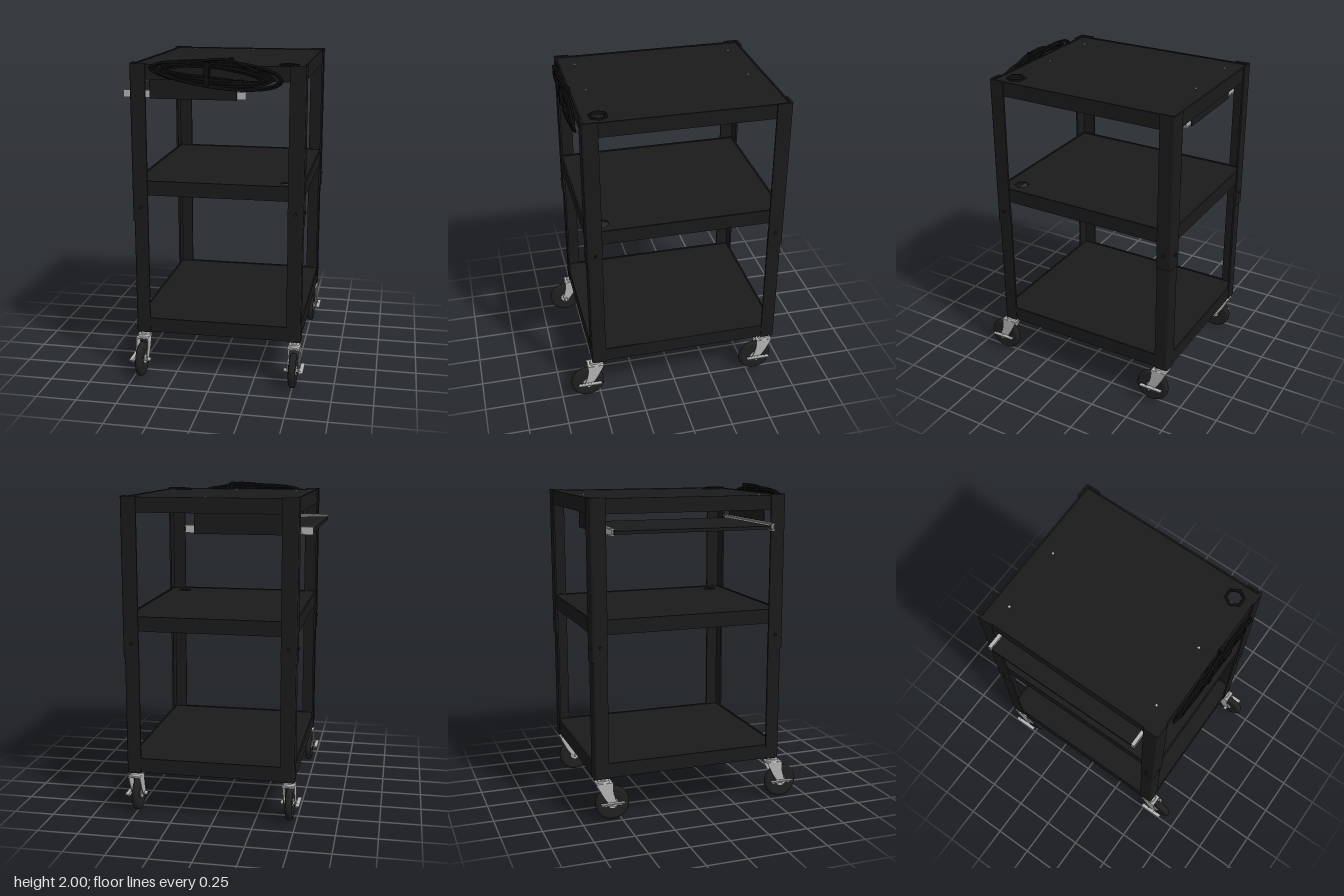
import * as THREE from 'three';

const mat = (name, color) => {
  const m = new THREE.MeshStandardMaterial({ color });
  m.name = name;
  return m;
};

export function createModel() {
  const black = mat('black paint', 0x1a1a1a);
  const rubber = mat('tyre rubber', 0x202020);
  const cable = mat('cable black', 0x0d0d0d);
  const steel = mat('zinc steel', 0xb4b4b4);

  const root = new THREE.Group();
  root.name = 'rollingCart';
  // The frame's centre differs from the origin because tray and wheels stick out
  const frame = new THREE.Group();
  frame.name = 'frame';
  frame.position.set(0.0225, 0, -0.06);
  root.add(frame);

  const add = (parent, name, geo, material, x = 0, y = 0, z = 0) => {
    const m = new THREE.Mesh(geo, material);
    m.name = name;
    m.position.set(x, y, z);
    parent.add(m);
    return m;
  };
  const box = (parent, name, material, w, h, d, x, y, z) =>
    add(parent, name, new THREE.BoxGeometry(w, h, d), material, x, y, z);

  const HX = 0.522, HZ = 0.615; // half width and half depth over the legs

  // Legs: rounded angle section, an upper sleeve over a lower post
  const angleGeometry = (w, t, h, r = 0.015) => {
    const s = new THREE.Shape();
    s.moveTo(r, 0);
    s.lineTo(w, 0);
    s.lineTo(w, t);
    s.lineTo(t, t);
    s.lineTo(t, w);
    s.lineTo(0, w);
    s.lineTo(0, r);
    s.quadraticCurveTo(0, 0, r, 0);
    return new THREE.ExtrudeGeometry(s, { depth: h, bevelEnabled: false, curveSegments: 5 })
      .rotateX(-Math.PI / 2);
  };
  const upperGeo = angleGeometry(0.095, 0.012, 0.96);
  const lowerGeo = angleGeometry(0.088, 0.012, 0.83);
  const boltGeo = new THREE.CylinderGeometry(0.01, 0.01, 0.012, 8);
  [[-1, 1], [1, 1], [1, -1], [-1, -1]].forEach(([sx, sz], k) => {
    const up = add(frame, 'upperLeg', upperGeo, black, sx * HX, 1.0, sz * HZ);
    const low = add(frame, 'lowerLeg', lowerGeo, black, sx * (HX - 0.006), 0.275, sz * (HZ - 0.006));
    up.rotation.y = low.rotation.y = k * Math.PI / 2;
    add(frame, 'legBolt', boltGeo, black, sx * (HX + 0.003), 1.09, sz * (HZ - 0.05)).rotation.z = Math.PI / 2;
    add(frame, 'legBolt', boltGeo, black, sx * (HX - 0.05), 1.09, sz * (HZ + 0.003)).rotation.x = Math.PI / 2;
  });

  // Shelves: thin sheet with a folded apron below and a low lip, cable hole in one corner
  const GX = 0.41, GZ = 0.5;
  const shelf = (name, top, hole) => {
    const g = new THREE.Group();
    g.name = name;
    frame.add(g);
    const w = HX - 0.014, d = HZ - 0.014, h = 0.09, t = 0.01;
    const s = new THREE.Shape([[-w, -d], [w, -d], [w, d], [-w, d]].map(p => new THREE.Vector2(...p)));
    if (hole) {
      const p = new THREE.Path();
      for (let i = 0; i < 6; i++) {
        const a = -i * Math.PI / 3;
        p[i ? 'lineTo' : 'moveTo'](GX + 0.045 * Math.cos(a), -GZ + 0.045 * Math.sin(a));
      }
      p.closePath();
      s.holes.push(p);
    }
    add(g, 'sheet', new THREE.ExtrudeGeometry(s, { depth: t, bevelEnabled: false }).rotateX(-Math.PI / 2),
      black, 0, top - 0.016, 0);
    for (const k of [-1, 1]) {
      box(g, 'sideApron', black, t, h, 2 * d, k * w, top - h / 2, 0);
      box(g, 'endApron', black, 2 * w, h, t, 0, top - h / 2, k * d);
    }
  };
  shelf('topShelf', 1.955, true);
  shelf('middleShelf', 1.253, true);
  shelf('bottomShelf', 0.37, false);

  // Grommet ring around the hole in the top
  add(frame, 'grommet', new THREE.TorusGeometry(0.052, 0.009, 6, 6).rotateX(Math.PI / 2),
    cable, GX, 1.951, GZ);

  // Sliding tray on two rails hung from the top
  const tray = new THREE.Group();
  tray.name = 'slidingTray';
  tray.position.z = -0.06;
  root.add(tray);
  box(tray, 'traySheet', black, 0.69, 0.02, 0.98, -0.225, 1.765, 0);
  for (const k of [-1, 1]) {
    box(tray, 'rail', steel, 0.75, 0.008, 0.022, -0.195, 1.786, k * 0.501);
    box(tray, 'rail', steel, 0.75, 0.008, 0.022, -0.195, 1.749, k * 0.501);
    box(tray, 'railWeb', steel, 0.75, 0.045, 0.006, -0.195, 1.7675, k * 0.506);
    box(tray, 'railEndStop', steel, 0.02, 0.025, 0.014, -0.55, 1.7675, k * 0.5);
    box(tray, 'hanger', black, 0.53, 0.2, 0.008, -0.14, 1.84, k * 0.516);
    for (const x of [-0.35, 0.06])
      add(tray, 'screw', new THREE.CylinderGeometry(0.007, 0.007, 0.006, 8), steel, x, 1.951, k * 0.504);
  }

  // Coiled power cord hung on the front apron
  const cord = new THREE.Group();
  cord.name = 'powerCord';
  cord.position.set(0.02, 1.905, 0.572);
  root.add(cord);
  for (let c = 0; c < 6; c++) {
    const pts = [];
    for (let i = 0; i < 16; i++) {
      const a = i / 16 * Math.PI * 2;
      const rx = 0.39 - c * 0.02, ry = 0.076 - c * 0.009;
      pts.push(new THREE.Vector3(
        rx * Math.cos(a) + 0.014 * Math.sin(c * 2.3),
        ry * Math.sin(a) + 0.008 * Math.sin(2 * a + c) - 0.03 * Math.cos(a),
        0.009 * Math.sin(3 * a + c * 1.7)));
    }
    add(cord, 'cordLoop', new THREE.TubeGeometry(new THREE.CatmullRomCurve3(pts, true), 72, 0.008, 6, true), cable);
  }
  // Tie, plug and hook holding the coil
  box(cord, 'cordTie', cable, 0.03, 0.14, 0.04, -0.05, 0, 0);
  box(cord, 'plug', cable, 0.07, 0.03, 0.025, 0.13, -0.045, 0.008);
  box(cord, 'cordHook', cable, 0.025, 0.05, 0.03, 0.09, 0.07, -0.012);
  const tail = [[-0.25, 0.03, 0], [-0.1, 0.075, 0.01], [0.07, 0.085, 0], [0.16, 0.06, 0.01], [0.25, 0.02, 0]];
  add(cord, 'cordTail', new THREE.TubeGeometry(
    new THREE.CatmullRomCurve3(tail.map(p => new THREE.Vector3(...p))), 30, 0.008, 6), cable);

  // Casters: swivel stem, slanted fork, wheel and brake pedal on the outer side
  const tyreGeo = new THREE.LatheGeometry(
    [[0.03, -0.018], [0.085, -0.022], [0.1, -0.018], [0.107, -0.008], [0.107, 0.008],
      [0.1, 0.018], [0.085, 0.022], [0.03, 0.018]].map(p => new THREE.Vector2(...p)), 32)
    .rotateZ(Math.PI / 2);
  const forkShape = new THREE.Shape();
  forkShape.moveTo(-0.05, 0.245);
  forkShape.lineTo(0.055, 0.245);
  forkShape.quadraticCurveTo(0.045, 0.19, 0.075, 0.12);
  forkShape.quadraticCurveTo(0.06, 0.085, 0.035, 0.1);
  forkShape.quadraticCurveTo(-0.01, 0.15, -0.05, 0.245);
  // Turned so the profile's x axis points along +z
  const forkGeo = new THREE.ExtrudeGeometry(forkShape, { depth: 0.006, bevelEnabled: false })
    .translate(0, 0, -0.003).rotateY(-Math.PI / 2);
  const rod = (r, l) => new THREE.CylinderGeometry(r, r, l, 14).rotateZ(Math.PI / 2);
  for (const sx of [-1, 1]) for (const z of [0.527, -0.61]) {
    const c = new THREE.Group();
    c.name = 'caster';
    c.position.set(0.0225 + sx * 0.478, 0, z);
    root.add(c);
    add(c, 'swivelStem', new THREE.CylinderGeometry(0.018, 0.018, 0.05, 14), steel, 0, 0.27, 0);
    add(c, 'swivelRace', new THREE.CylinderGeometry(0.034, 0.04, 0.018, 18), steel, 0, 0.25, 0);
    box(c, 'forkCrown', steel, 0.076, 0.008, 0.1, 0, 0.241, 0.002);
    for (const k of [-1, 1]) add(c, 'forkPlate', forkGeo, steel, k * 0.035, 0, 0);
    add(c, 'tyre', tyreGeo, rubber, 0, 0.107, 0.055);
    add(c, 'hub', rod(0.032, 0.042), steel, 0, 0.107, 0.055);
    add(c, 'axle', rod(0.012, 0.112), steel, 0, 0.107, 0.055);
    box(c, 'brakeArm', steel, 0.008, 0.02, 0.13, sx * 0.046, 0.112, 0.045);
    box(c, 'brakePedal', steel, 0.024, 0.007, 0.15, sx * 0.054, 0.118, 0.045);
  }
  return root;
}
